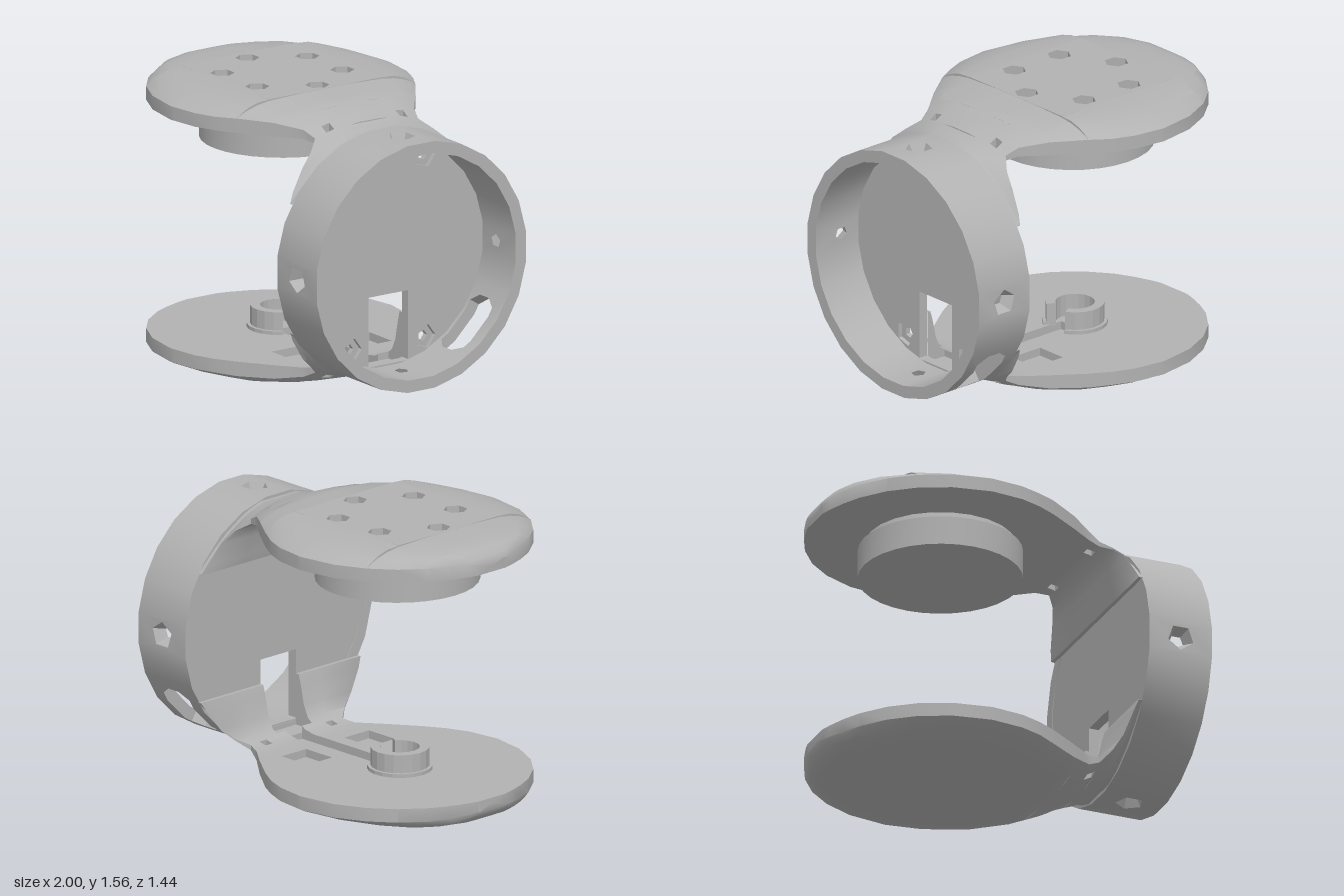
import * as THREE from 'three';
import { mergeGeometries, toCreasedNormals } from 'three/addons/utils/BufferGeometryUtils.js';

const grey = new THREE.MeshStandardMaterial({ color: 0xb2b2b2 });
grey.name = 'plain grey';
const V = (x, y) => new THREE.Vector2(x, y);

function addPart(group, name, geometry, crease = 0.6) {
  const mesh = new THREE.Mesh(toCreasedNormals(geometry, crease), grey);
  mesh.name = name;
  group.add(mesh);
}

const rect = (x0, y0, x1, y1) => [V(x0, y0), V(x1, y0), V(x1, y1), V(x0, y1)];
function polygon(cx, cy, rx, ry, sides) {
  return Array.from({ length: sides }, (_, i) => {
    const a = (i / sides) * Math.PI * 2;
    return V(cx + rx * Math.cos(a), cy + ry * Math.sin(a));
  });
}
function extrude(outline, holes, depth, curveSegments = 12) {
  const shape = outline instanceof THREE.Shape ? outline : new THREE.Shape(outline);
  shape.holes.push(...holes.map((h) => new THREE.Path(h)));
  return new THREE.ExtrudeGeometry(shape, { depth, bevelEnabled: false, curveSegments });
}

// Arm profile along x: x, half width, lowest y, rim y, flat side y, roundness
const KEYS = [
  [-1, 0.1, 0.1, 0.105, 0.165, 6], [-0.985, 0.16, 0.075, 0.1, 0.165, 6],
  [-0.95, 0.26, 0.045, 0.095, 0.165, 6], [-0.9, 0.364, 0.031, 0.09, 0.165, 6],
  [-0.8, 0.496, 0.022, 0.09, 0.165, 6], [-0.67, 0.602, 0.015, 0.09, 0.165, 5],
  [-0.5, 0.682, 0.014, 0.09, 0.165, 5], [-0.285, 0.718, 0.014, 0.09, 0.165, 5],
  [-0.1, 0.692, 0.014, 0.09, 0.165, 5], [0.02, 0.645, 0.014, 0.09, 0.165, 5],
  [0.13, 0.581, 0.015, 0.085, 0.165, 5], [0.3, 0.46, 0.035, 0.09, 0.165, 4],
  [0.43, 0.36, 0.068, 0.115, 0.165, 3], [0.5, 0.335, 0.092, 0.15, 0.178, 2.3],
  [0.55, 0.4, 0.105, 0.205, 0.215, 2], [0.58, 0.475, 0.11, 0.27, 0.278, 2],
  [0.605, 0.555, 0.114, 0.385, 0.39, 2], [0.62, 0.582, 0.116, 0.435, 0.44, 2],
  [0.642, 0.584, 0.116, 0.437, 0.44, 2],
];

function profileAt(x) {
  let i = 0;
  while (i < KEYS.length - 2 && x > KEYS[i + 1][0]) i++;
  const a = KEYS[i], b = KEYS[i + 1];
  const t = (x - a[0]) / (b[0] - a[0]);
  return a.map((v, k) => v + (b[k] - v) * t);
}

// Cross-section of an arm: notched flat side, then rounded side
function armSection(x, mid, lower) {
  const [, w, bot, edge, top, e] = profileAt(x);
  const neck = mid > 0.35;
  const c = Math.min(mid > 0.52 ? 0.13 : 0.06, 0.4 * w);
  const p1 = Math.min(neck ? 0.215 : 0.14, 0.7 * w);
  const p2 = Math.min(neck ? 0.265 : lower ? 0.32 : 0.37, 0.8 * w);
  const plate = !lower && mid > -0.67 && mid < 0.13;
  const z0 = plate ? p2 : 0;
  const round = (z) => bot + (edge - bot) * Math.pow(Math.max(0, z - z0) / (w - z0), plate ? 2.5 : e);
  const hole = mid > 0.46 && mid < 0.505;
  const pocket = lower && mid > 0.08 && mid < 0.28;
  const floor = !lower || mid < -0.25 ? top : mid > 0.52 ? 0.155 : 0.12;
  const sink = (z) => (hole ? round(z) : pocket ? 0.12 : top);
  const flat = [[w, top], [p2, top], [p2, sink(p2)], [p1, sink(p1)], [p1, top], [c, top], [c, floor]];
  const rim = [0.35, 0.65, 0.85, 0.95, 1].map((t) => p2 + (w - p2) * t);
  const under = [c, p1, p2, ...rim].map((z) => [z, round(z)]);
  const flip = (list) => list.map(([z, y]) => [-z, y]).reverse();
  const open = hole ? [p1, p2] : plate ? [-1, p2] : null;
  return { points: [...flat, ...flip(flat), ...flip(under), ...under].map(([z, y]) => [x, y, z]), open };
}

function armGeometry(lower) {
  const xs = [...new Set([...KEYS.map((k) => k[0]), -0.25, 0.08, 0.28, 0.35, 0.46, 0.505, 0.52])].sort((a, b) => a - b);
  const out = [];
  const bridge = (A, B, open) => {
    const n = A.length;
    for (let i = 0; i < n; i++) {
      const j = (i + 1) % n;
      const z = Math.abs(A[i][2] + A[j][2]) / 2;
      // Leave out the faces where a hole or the screw plate goes
      const cuttable = open && ((i >= 14 && i < n - 1) || (open[0] > 0 && (i === 2 || i === 10)));
      if (cuttable && z > open[0] && z < open[1]) continue;
      out.push(...A[i], ...B[i], ...A[j], ...B[i], ...B[j], ...A[j]);
    }
  };
  let last = null;
  for (let k = 0; k < xs.length - 1; k++) {
    const mid = (xs[k] + xs[k + 1]) / 2;
    const A = armSection(xs[k], mid, lower), B = armSection(xs[k + 1], mid, lower);
    if (last) bridge(last, A.points, null);
    else A.points.forEach((p, i) => out.push(-1, 0.135, 0, ...p, ...A.points[(i + 1) % A.points.length]));
    bridge(A.points, B.points, A.open);
    last = B.points;
  }
  const g = new THREE.BufferGeometry();
  g.setAttribute('position', new THREE.Float32BufferAttribute(out, 3));
  return g;
}

// Round wall of flat facets with tapered radial holes and one long slot
function ringGeometry() {
  const half = Math.PI / 24;
  const parts = [];
  for (let k = 0; k < 24; k++) {
    const m = k === 14 ? 1 : -1;
    const drilled = k % 6 === 0;
    let panels = [[rect(-1, 0.64, 1, 1), drilled ? [polygon(0, 0.82, 0.82, 0.076, 5)] : []]];
    if (k === 15) panels = [[rect(-1, 0.64, 1, 0.72), []], [rect(-1, 0.92, 1, 1), []]];
    if (k === 14 || k === 16) {
      panels = [[[V(-m, 0.64), V(m, 0.64), V(m, 0.72), V(0.35 * m, 0.72), V(-0.18 * m, 0.78),
        V(-0.18 * m, 0.86), V(0.35 * m, 0.92), V(m, 0.92), V(m, 1), V(-m, 1)], []]];
    }
    const a = k * 2 * half;
    for (const [outline, holes] of panels) {
      const g = extrude(outline, holes, 1);
      const p = g.attributes.position;
      for (let i = 0; i < p.count; i++) {
        const R = 0.62 + 0.067 * p.getZ(i);
        const taper = drilled && Math.abs(p.getX(i)) < 0.9 && p.getZ(i) < 0.5 ? 0.55 : 1;
        const r = R * Math.cos(half), t = p.getX(i) * taper * R * Math.sin(half);
        const x = 0.82 + (p.getY(i) - 0.82) * taper;
        p.setXYZ(i, x, 0.795 + r * Math.cos(a) - t * Math.sin(a), r * Math.sin(a) + t * Math.cos(a));
      }
      parts.push(g);
    }
  }
  return mergeGeometries(parts);
}

// Web plate layer across the ring, with a cable window and four screw holes
function webLayer(x, depth, holeRadius) {
  const holes = [rect(-0.13, 0.19, 0.13, 0.575)];
  for (const z of [-0.24, 0.24]) for (const y of [0.3, 1.3]) holes.push(polygon(z, y, holeRadius, holeRadius, 5));
  return extrude(polygon(0, 0.795, 0.64, 0.64, 24), holes, depth).rotateY(Math.PI / 2).translate(x, 0, 0);
}

// Layer of the upper disc with six screw holes
function screwLayer(y, depth, holeRadius) {
  const holes = polygon(-0.27, 0, 0.32, 0.32, 6).map((c) => polygon(c.x, c.y, holeRadius, holeRadius, 6));
  return extrude(rect(-0.67, -0.37, 0.13, 0.37), holes, depth).rotateX(-Math.PI / 2).translate(0, y, 0);
}

// C-shaped wall, open towards the ring
function cWall(outer, inner, y, depth) {
  const s = new THREE.Shape();
  s.absarc(0, 0, outer, 0.5, Math.PI * 2 - 0.5, false);
  s.absarc(0, 0, inner, Math.PI * 2 - 0.5, 0.5, true);
  return extrude(s, [], depth, 8).rotateX(-Math.PI / 2).translate(-0.295, y, 0);
}

export function createModel() {
  const model = new THREE.Group();
  model.name = 'forkBracket';

  // Ring and its web
  addPart(model, 'ring', ringGeometry());
  addPart(model, 'ringWebBack', webLayer(0.643, 0.03, 0.03));
  addPart(model, 'ringWebFront', webLayer(0.673, 0.025, 0.068));

  // Lower arm with channel, pockets and cable boss
  addPart(model, 'lowerArm', armGeometry(true));
  addPart(model, 'bossBase', cWall(0.175, 0.105, 0.155, 0.03), 0.3);
  addPart(model, 'boss', cWall(0.157, 0.105, 0.155, 0.13), 0.3);

  // Upper arm, its screw plate and the round mount below it
  addPart(model, 'upperArm', armGeometry(false).rotateX(Math.PI).translate(0, 1.592, 0));
  addPart(model, 'screwPlate', screwLayer(1.518, 0.06, 0.065));
  addPart(model, 'screwSeats', screwLayer(1.468, 0.05, 0.032));
  addPart(model, 'mountNeck', new THREE.CylinderGeometry(0.4, 0.415, 0.06, 24).translate(-0.275, 1.41, 0));
  addPart(model, 'mountDisc', new THREE.CylinderGeometry(0.44, 0.44, 0.16, 32).translate(-0.275, 1.305, 0));
  return model;
}
